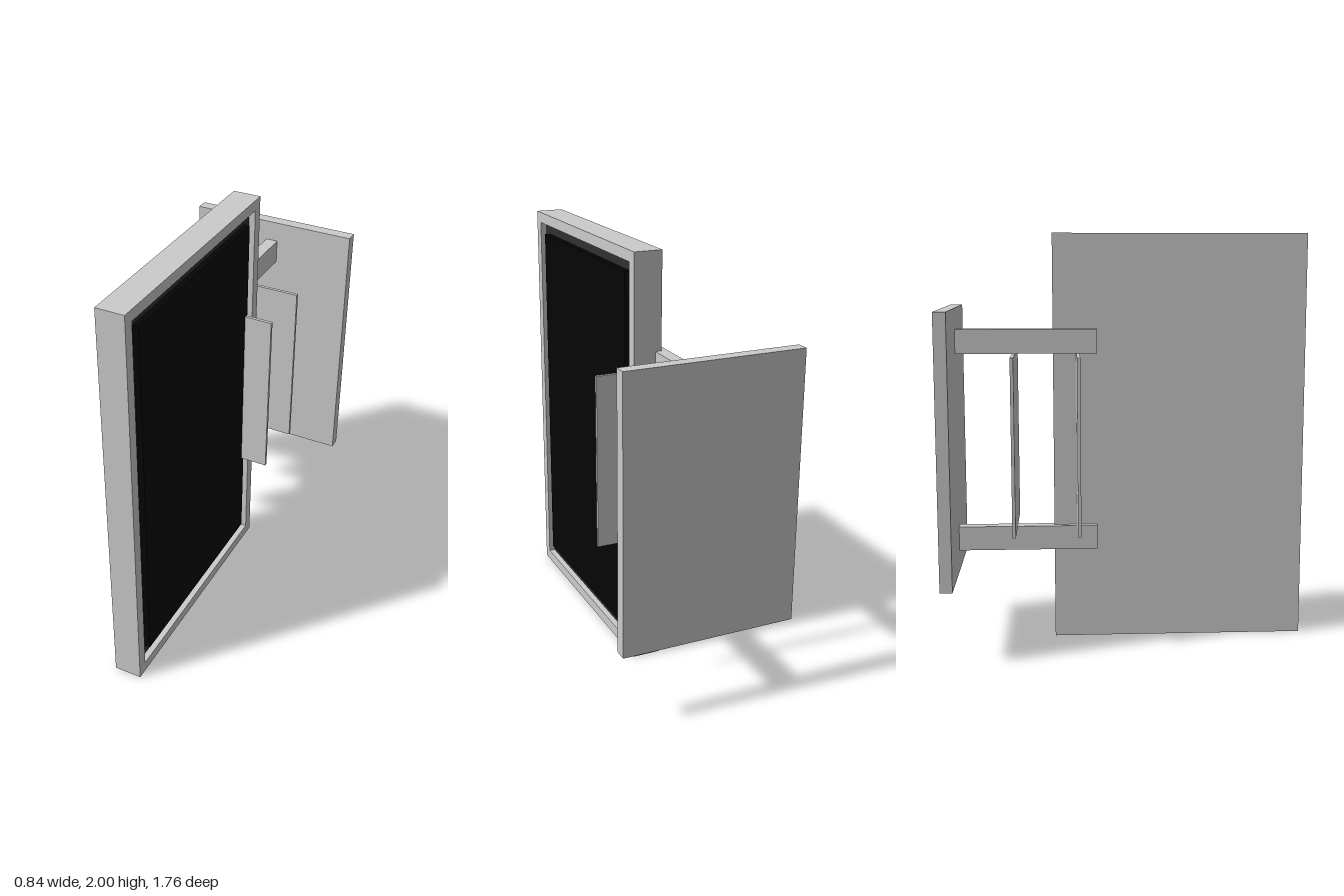
import * as THREE from 'three';

const grey = new THREE.MeshStandardMaterial({ color: 0xcccccc });
const dark = new THREE.MeshStandardMaterial({ color: 0x303030 });
const black = new THREE.MeshStandardMaterial({ color: 0x050505 });

export function createModel() {
  const model = new THREE.Group();

  const add = (name, geometry, material) => {
    const mesh = new THREE.Mesh(geometry, material);
    mesh.name = name;
    model.add(mesh);
    return mesh;
  };

  // Box given by its extents on each axis
  const box = (name, [x0, x1], [y0, y1], [z0, z1], material = grey) =>
    add(name, new THREE.BoxGeometry(x1 - x0, y1 - y0, z1 - z0), material)
      .position.set((x0 + x1) / 2, (y0 + y1) / 2, (z0 + z1) / 2);

  // Display body: everything is inset from one outer rectangle facing +x
  const zMin = -0.354, zMax = 0.882, height = 2;
  const zSpan = (m) => [zMin + m, zMax - m];
  const ySpan = (m) => [m, height - m];

  const outline = (Type, m) => {
    const w = (zMax - zMin) / 2 - m, h = height / 2 - m;
    return new Type([[-w, -h], [w, -h], [w, h], [-w, h]].map(([a, b]) => new THREE.Vector2(a, b)));
  };

  // Rectangular ring between two insets, spanning x0 to x1
  const ring = (name, outer, inner, x0, x1, material) => {
    const shape = outline(THREE.Shape, outer);
    shape.holes.push(outline(THREE.Path, inner));
    const geometry = new THREE.ExtrudeGeometry(shape, { depth: x1 - x0, bevelEnabled: false });
    geometry.rotateY(Math.PI / 2);
    add(name, geometry, material).position.set(x0, height / 2, (zMin + zMax) / 2);
  };

  ring('displayFrame', 0, 0.052, 0, 0.135, grey);
  box('displayBack', [0, 0.09], ySpan(0.052), zSpan(0.052));

  // Sunken dark bezel with the screen standing forward from it
  ring('screenBezel', 0.052, 0.105, 0.09, 0.105, dark);
  box('screen', [0.09, 0.133], ySpan(0.105), zSpan(0.105), black);

  // Wall plate
  box('wallPlate', [-0.422, 0.422], [0.355, 1.645], [-0.882, -0.823]);

  // Upper and lower arms
  for (const y of [0.456, 1.426]) {
    box('mountArm', [-0.03, 0.03], [y, y + 0.118], [-0.823, -0.142]);
  }

  // Thin upright cross plates between the arms
  for (const z of [-0.543, -0.233]) {
    box('crossPlate', [-0.27, 0.27], [0.574, 1.426], [z - 0.008, z + 0.008]);
  }

  return model;
}
